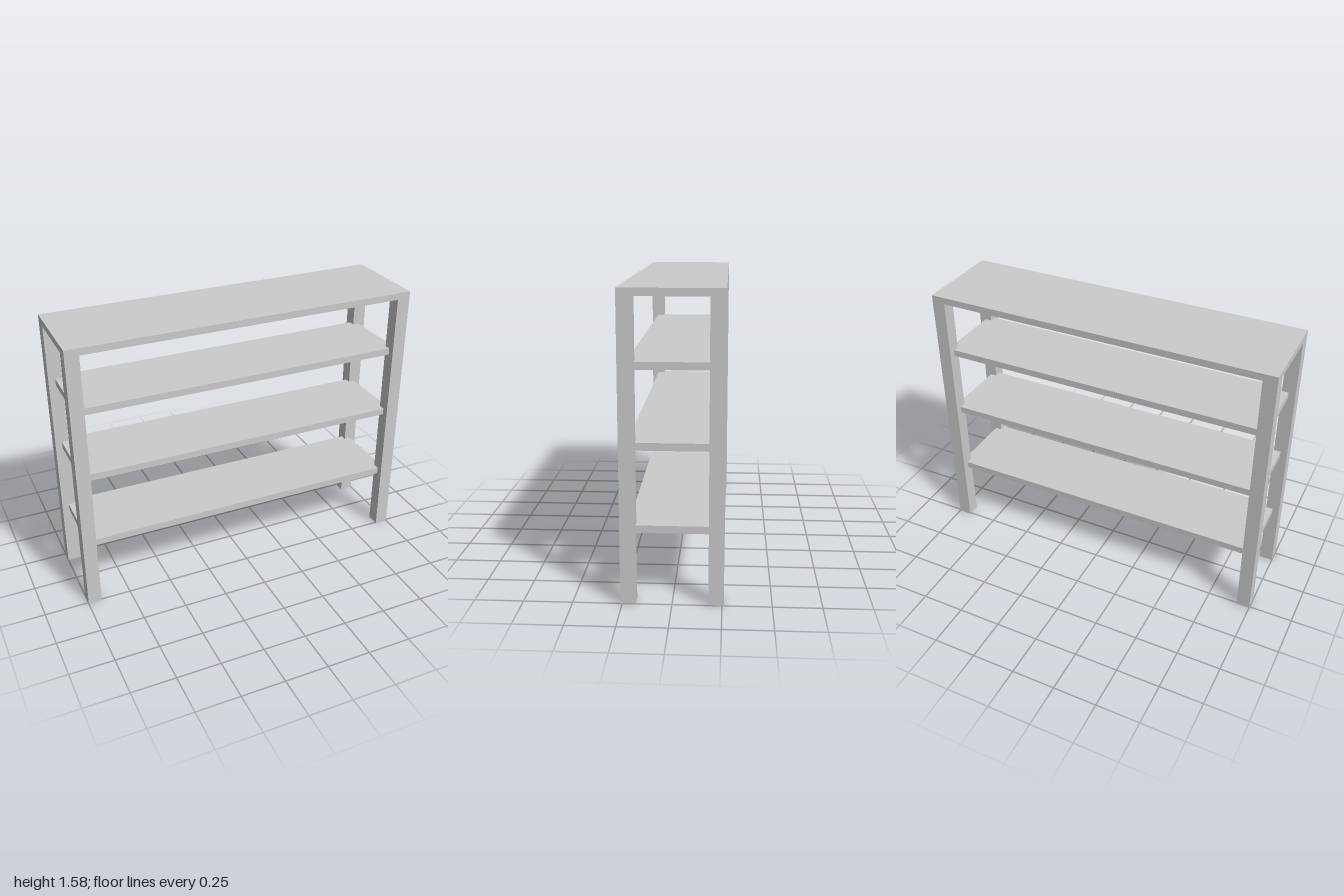
import * as THREE from 'three';

export function createModel() {
  const group = new THREE.Group();
  group.name = 'shelfUnit';
  const material = new THREE.MeshStandardMaterial({ color: 0xcccccc, flatShading: true });

  const halfW = 1, halfD = 0.259, height = 1.575;
  const post = 0.077, board = 0.039;

  // Box placed by its centre in x and z and its underside in y
  const box = (name, w, h, d, x, y, z) => {
    const mesh = new THREE.Mesh(new THREE.BoxGeometry(w, h, d), material);
    mesh.name = name;
    mesh.position.set(x, y + h / 2, z);
    group.add(mesh);
  };

  // Top board, flush with the outside of the legs
  box('top', 2 * halfW, board, 2 * halfD, 0, height - board, 0);

  // Four corner legs
  const legX = halfW - post / 2, legZ = halfD - post / 2;
  for (const [sideX, nameX] of [[1, 'Left'], [-1, 'Right']]) {
    for (const [sideZ, nameZ] of [[1, 'front'], [-1, 'back']]) {
      box(`${nameZ}${nameX}Leg`, post, height - board, post, sideX * legX, 0, sideZ * legZ);
    }
  }

  // Shelves, let into the middle of each leg
  [['lowerShelf', 0.362], ['middleShelf', 0.785], ['upperShelf', 1.183]].forEach(([name, y]) =>
    box(name, 2 * legX, board, 2 * legZ, 0, y, 0));

  return group;
}
